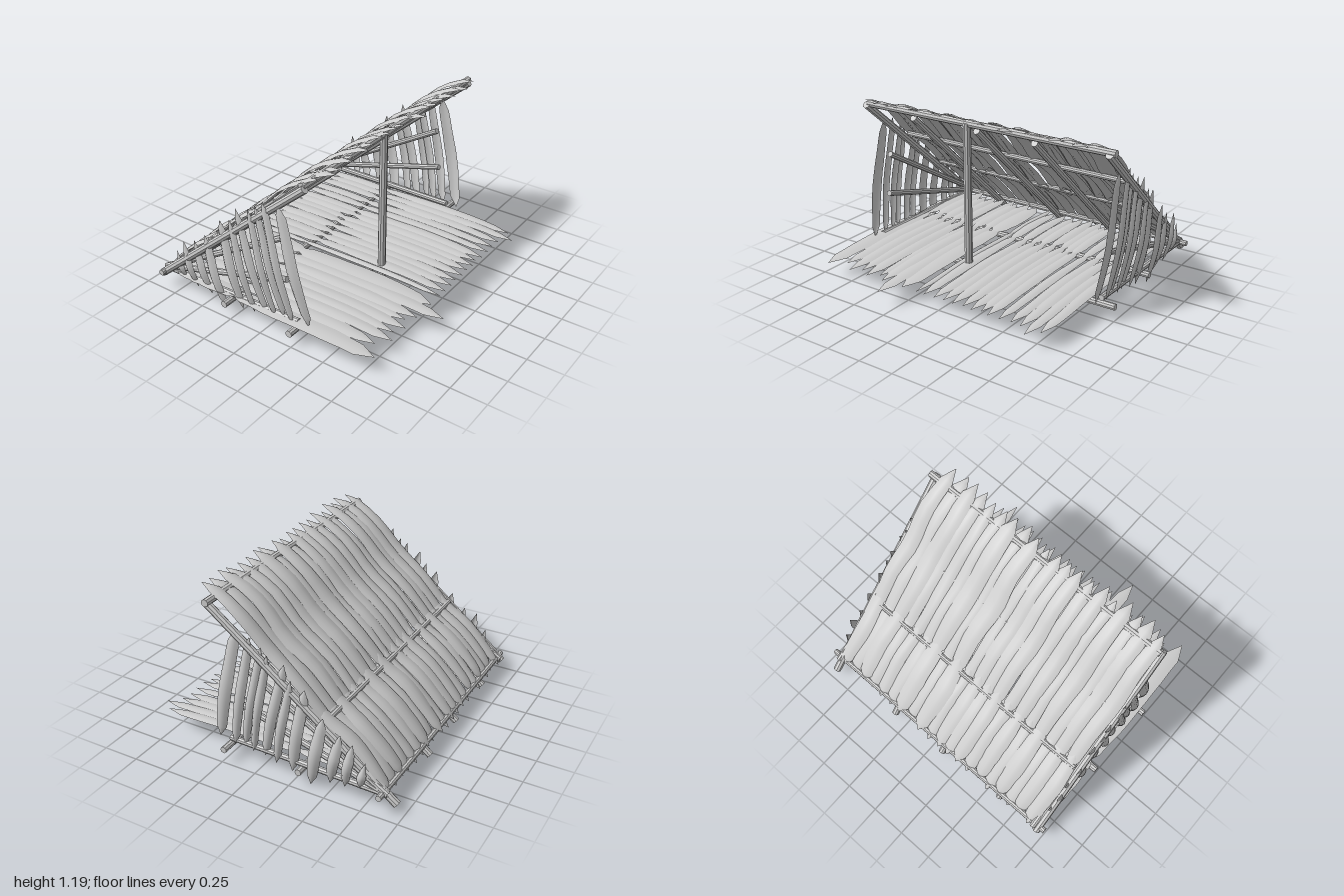
import * as THREE from 'three';

const wood = new THREE.MeshStandardMaterial({ color: 0xcccccc, flatShading: true });
const leafMat = new THREE.MeshStandardMaterial({ color: 0xcccccc, side: THREE.DoubleSide });
const V = (x, y, z) => new THREE.Vector3(x, y, z);

// Small seeded generator, returns -1..1
let seed = 7;
const rnd = () => {
  seed = (seed * 16807) % 2147483647;
  return (seed / 2147483647) * 2 - 1;
};

// Straight round pole between two points
function pole(parent, name, a, b, r = 0.026) {
  const dir = b.clone().sub(a);
  const mesh = new THREE.Mesh(new THREE.CylinderGeometry(r * 0.95, r, dir.length(), 9), wood);
  mesh.name = name;
  mesh.position.copy(a).add(b).multiplyScalar(0.5);
  mesh.quaternion.setFromUnitVectors(V(0, 1, 0), dir.normalize());
  parent.add(mesh);
}

// Long pointed leaf swept along a spine, cupped across its width
function leaf(parent, name, points, side, width, { tip = 0.1, camber = 0.018 } = {}) {
  const curve = new THREE.CatmullRomCurve3(points);
  const t1 = tip / curve.getLength();
  const stations = [[0, 0.02], [t1 * 0.5, 0.42], [t1, 0.8]];
  const body = 9;
  for (let i = 1; i < body; i++) {
    const s = i / body;
    stations.push([t1 + (1 - 2 * t1) * s, 0.8 + 0.2 * Math.sin(Math.PI * s) + 0.04 * rnd()]);
  }
  stations.push([1 - t1, 0.8], [1 - t1 * 0.5, 0.42], [1, 0.02]);
  const pos = [], idx = [], n = 4;
  stations.forEach(([t, w], r) => {
    const p = curve.getPointAt(t);
    const normal = side.clone().cross(curve.getTangentAt(t)).normalize();
    for (let j = 0; j <= n; j++) {
      const u = (j / n) * 2 - 1;
      const q = p.clone().addScaledVector(side, u * w * width / 2)
        .addScaledVector(normal, camber * w * (0.5 - u * u));
      pos.push(q.x, q.y, q.z);
      if (r && j) {
        const d = r * (n + 1) + j, c = d - 1, b = d - n - 1, a = b - 1;
        idx.push(a, b, c, b, d, c);
      }
    }
  });
  const geo = new THREE.BufferGeometry();
  geo.setAttribute('position', new THREE.Float32BufferAttribute(pos, 3));
  geo.setIndex(idx);
  geo.computeVertexNormals();
  const mesh = new THREE.Mesh(geo, leafMat);
  mesh.name = name;
  parent.add(mesh);
}

function buildFrame() {
  const g = new THREE.Group();
  g.name = 'poleFrame';
  // Post and horizontal poles
  pole(g, 'centrePost', V(-0.08, 0.06, 0.31), V(-0.08, 1.14, 0.31), 0.028);
  pole(g, 'ridgePole', V(-0.92, 1.135, 0.305), V(1, 1.135, 0.305), 0.026);
  pole(g, 'upperPurlin', V(-0.89, 0.825, -0.07), V(0.9, 0.825, -0.07), 0.02);
  pole(g, 'lowerPurlin', V(-0.91, 0.495, -0.46), V(0.88, 0.495, -0.46), 0.02);
  pole(g, 'rearGroundPole', V(-1, 0.13, -0.86), V(0.98, 0.13, -0.86), 0.021);
  pole(g, 'middleGroundPole', V(-1, 0.105, -0.3), V(0.97, 0.105, -0.3), 0.024);
  pole(g, 'frontGroundPole', V(-1, 0.105, 0.235), V(1, 0.105, 0.235), 0.024);
  // Sloping rafters
  pole(g, 'rightRafter', V(-0.95, 0.1, -0.89), V(-0.92, 1.13, 0.33), 0.028);
  pole(g, 'leftRafter', V(0.895, 0.065, -0.945), V(0.965, 1.13, 0.33), 0.028);
  for (const [top, bottom, z] of [[-0.54, -0.605, -0.88], [-0.02, -0.09, -0.9], [0.42, 0.35, -0.91]])
    pole(g, 'innerRafter', V(bottom, 0.07, z), V(top, 1.09, 0.29), 0.025);
  // Fanned rails on both ends
  for (const s of [-1, 1])
    for (const [y, z] of [[0.72, 0.13], [0.43, 0.16], [0.145, 0.24]])
      pole(g, 'sideRail', V(s * 0.915, 0.13, -0.89), V(s * 0.9, y, z), 0.022);
  return g;
}

function buildRoof() {
  const g = new THREE.Group();
  g.name = 'roofThatch';
  const side = V(1, 0, 0), count = 20;
  for (let i = 0; i < count; i++) {
    const x = -0.86 + (i * 1.73) / (count - 1) + 0.008 * rnd();
    const lift = (i % 2) * 0.012 + 0.008 * rnd();
    const w = 0.125 + 0.015 * rnd(), e = 0.03 * rnd(), k = 0.015 * rnd();
    // Upper tier, draped over the ridge and the upper purlin
    leaf(g, 'upperRoofLeaf', [
      V(x, 1.18 + lift, 0.41 + e), V(x, 1.155 + lift, 0.31), V(x + k, 1.04 + lift, 0.12),
      V(x, 0.845 + lift, -0.07), V(x + k, 0.69 + lift, -0.27), V(x, 0.5 + lift, -0.45),
      V(x, 0.45 + lift, -0.5)], side, w);
    // Lower tier, tucked under the lower purlin
    leaf(g, 'lowerRoofLeaf', [
      V(x, 0.555 + lift, -0.4 + e * 0.5), V(x, 0.49 + lift, -0.47), V(x - k, 0.37 + lift, -0.64),
      V(x, 0.18 + lift, -0.83), V(x, 0.1 + lift, -0.89 + e * 0.5)], side, w, { tip: 0.07 });
  }
  return g;
}

function buildFloor() {
  const g = new THREE.Group();
  g.name = 'floorMat';
  const side = V(1, 0, 0);
  // Front tier: tip x, tip z, width
  const front = [
    [-0.9, 0.81, 0.14], [-0.79, 0.74, 0.11], [-0.705, 0.81, 0.1], [-0.63, 0.77, 0.09],
    [-0.555, 0.81, 0.1], [-0.48, 0.76, 0.09], [-0.42, 0.81, 0.1], [-0.335, 0.95, 0.11],
    [-0.25, 0.81, 0.14], [-0.135, 0.81, 0.055], [-0.07, 0.81, 0.09], [0.01, 0.81, 0.09],
    [0.08, 0.8, 0.09], [0.155, 0.81, 0.09], [0.23, 0.8, 0.09], [0.3, 0.81, 0.09],
    [0.365, 0.79, 0.09], [0.425, 0.81, 0.09], [0.51, 0.81, 0.08], [0.59, 0.8, 0.09],
    [0.665, 0.81, 0.09], [0.74, 0.88, 0.085], [0.81, 0.81, 0.085]];
  for (const [x, z, w] of front) {
    const y = 0.145 + 0.007 * rnd(), e = 0.04 * rnd();
    leaf(g, 'frontFloorLeaf', [
      V(x, 0.13, z), V(x + 0.005, y + 0.002, z - 0.3), V(x, y + 0.008, 0.2), V(x, y, -0.32 + e)],
      side, w, { tip: 0.12, camber: 0.01 });
    leaf(g, 'rearFloorLeaf', [
      V(x, y, -0.2 + e), V(x + 0.01 * rnd(), y + 0.004, -0.5), V(x, y - 0.005, -0.82 + e)],
      side, w, { tip: 0.1, camber: 0.01 });
  }
  return g;
}

function buildWall(s) {
  const g = new THREE.Group();
  g.name = s > 0 ? 'leftWall' : 'rightWall';
  // Bottom z, bottom y, top z, top y, width
  const leaves = [
    [0.32, 0.14, 0.14, 0.97, 0.1], [0.2, 0.12, 0.03, 0.96, 0.075], [0.13, 0.12, -0.04, 0.9, 0.07],
    [0.06, 0.11, -0.09, 0.87, 0.065], [-0.02, 0.1, -0.2, 0.83, 0.08], [-0.11, 0.08, -0.25, 0.74, 0.07],
    [-0.22, 0.05, -0.34, 0.7, 0.09], [-0.36, 0.01, -0.47, 0.55, 0.09], [-0.49, 0.06, -0.58, 0.46, 0.08],
    [-0.6, 0.08, -0.67, 0.43, 0.07], [-0.7, 0.09, -0.75, 0.32, 0.06]];
  leaves.forEach(([z0, y0, z1, y1, w], i) => {
    const out = i % 2 ? 0.012 : 0;
    const at = (t, x) => V(s * (x + out), y0 + (y1 - y0) * t, z0 + (z1 - z0) * t);
    leaf(g, 'wallLeaf', [at(0, 0.905), at(0.15, 0.925), at(0.45, 0.95), at(0.75, 0.945), at(1, 0.94)],
      V(0, 0, -s), w, { tip: 0.08, camber: 0.02 });
  });
  return g;
}

export function createModel() {
  seed = 7;
  const model = new THREE.Group();
  model.name = 'leanToShelter';
  model.add(buildFrame(), buildRoof(), buildFloor(), buildWall(1), buildWall(-1));
  return model;
}
